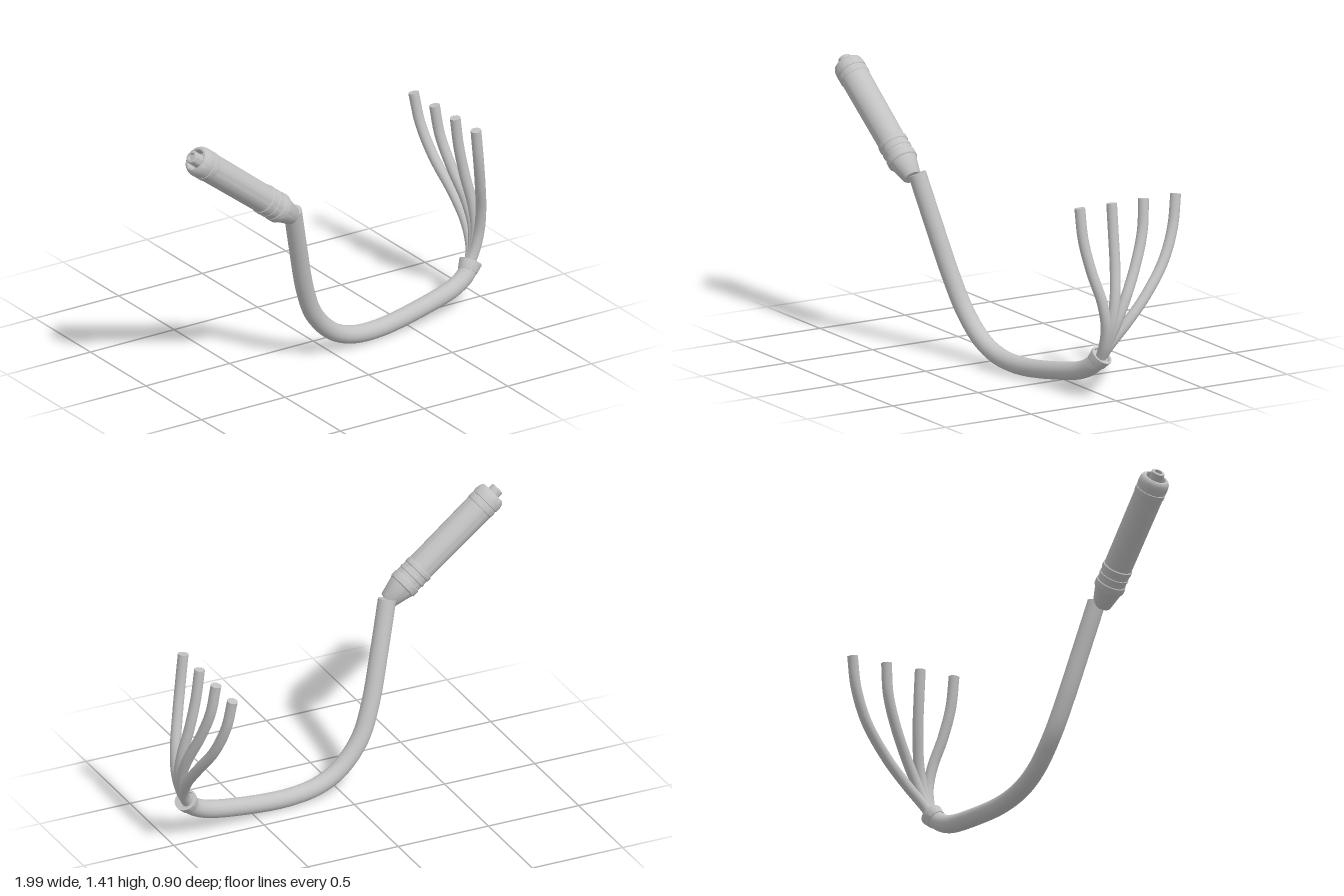
import * as THREE from 'three';
import { toCreasedNormals } from 'three/addons/utils/BufferGeometryUtils.js';

const V = (x, y, z) => new THREE.Vector3(x, y, z);

export function createModel() {
  const model = new THREE.Group();
  const grey = new THREE.MeshStandardMaterial({ color: 0xc2c2c2 });
  grey.name = 'grey';

  // Round tube through points, closed by a flat disc at each end
  function cable(name, points, radius, segments) {
    const group = new THREE.Group();
    group.name = name;
    const curve = new THREE.CatmullRomCurve3(points);
    group.add(new THREE.Mesh(new THREE.TubeGeometry(curve, segments, radius, 24), grey));
    for (const t of [0, 1]) {
      const cap = new THREE.Mesh(new THREE.CircleGeometry(radius, 24), grey);
      const out = curve.getTangent(t).multiplyScalar(t ? 1 : -1);
      cap.position.copy(curve.getPoint(t));
      cap.quaternion.setFromUnitVectors(V(0, 0, 1), out);
      group.add(cap);
    }
    model.add(group);
  }

  // Turned part whose local y axis points along a direction
  function turned(name, profile, base, direction) {
    const points = profile.map(([r, h]) => new THREE.Vector2(r, h));
    const geometry = toCreasedNormals(new THREE.LatheGeometry(points, 48), 0.5);
    const mesh = new THREE.Mesh(geometry, grey);
    mesh.name = name;
    mesh.position.copy(base);
    mesh.quaternion.setFromUnitVectors(V(0, 1, 0), direction.clone().normalize());
    model.add(mesh);
  }

  // Handle: nose, two raised bands, barrel, grooved head and recessed socket with a pin
  const nose = V(-0.358, 0.905, 0.355);
  const axis = V(-0.593, 0.461, 0.017);
  turned('handle', [
    [0, 0], [0.042, 0], [0.047, 0.006], [0.067, 0.085], [0.072, 0.1],
    [0.077, 0.104], [0.078, 0.12], [0.077, 0.138], [0.073, 0.142],
    [0.073, 0.165], [0.076, 0.168], [0.076, 0.18], [0.073, 0.183],
    [0.073, 0.203], [0.077, 0.207], [0.077, 0.228], [0.072, 0.232],
    [0.075, 0.65], [0.078, 0.655], [0.078, 0.68], [0.075, 0.682],
    [0.075, 0.69], [0.078, 0.692], [0.078, 0.715], [0.075, 0.733],
    [0.069, 0.745], [0.061, 0.751], [0.053, 0.751], [0.051, 0.745],
    [0.051, 0.705], [0, 0.705],
  ], nose, axis);
  turned('socketPin', [
    [0.034, 0.7], [0.034, 0.78], [0.03, 0.784], [0.02, 0.784], [0.018, 0.77], [0, 0.77],
  ], nose, axis);

  // Main cable
  cable('mainCable', [
    V(-0.345, 0.925, 0.335), V(-0.28, 0.69, 0.285), V(-0.2, 0.42, 0.228),
    V(-0.125, 0.255, 0.195), V(-0.005, 0.128, 0.172), V(0.12, 0.07, 0.155),
    V(0.3, 0.052, 0.134), V(0.6, 0.087, 0.096), V(0.79, 0.13, 0.072),
    V(0.87, 0.172, 0.057), V(0.912, 0.217, 0.041),
  ], 0.046, 120);

  // Flared collar where the cable splits
  turned('collar', [
    [0, -0.02], [0.05, -0.02], [0.058, 0.025], [0.058, 0.03], [0.046, 0.03], [0.044, 0.012], [0, 0.012],
  ], V(0.902, 0.205, 0.043), V(0.57, 0.76, -0.3));

  // Four branches sharing one side outline and fanning out along z
  const outline = [[0.91, 0.215], [0.943, 0.285], [0.967, 0.39], [0.963, 0.51], [0.93, 0.67], [0.9, 0.83], [0.88, 0.99]];
  const fans = [
    [0.035, 0.035, 0.04, 0.06, 0.103, 0.132, 0.14],
    [0.035, 0.026, 0.009, -0.014, -0.036, -0.045, -0.047],
    [0.035, 0.018, -0.018, -0.075, -0.156, -0.214, -0.234],
    [0.035, 0.0, -0.083, -0.192, -0.32, -0.392, -0.422],
  ];
  fans.forEach((zs, i) => {
    cable('branch' + (i + 1), outline.map(([x, y], k) => V(x, y, zs[k])), 0.027, 60);
  });

  return model;
}
